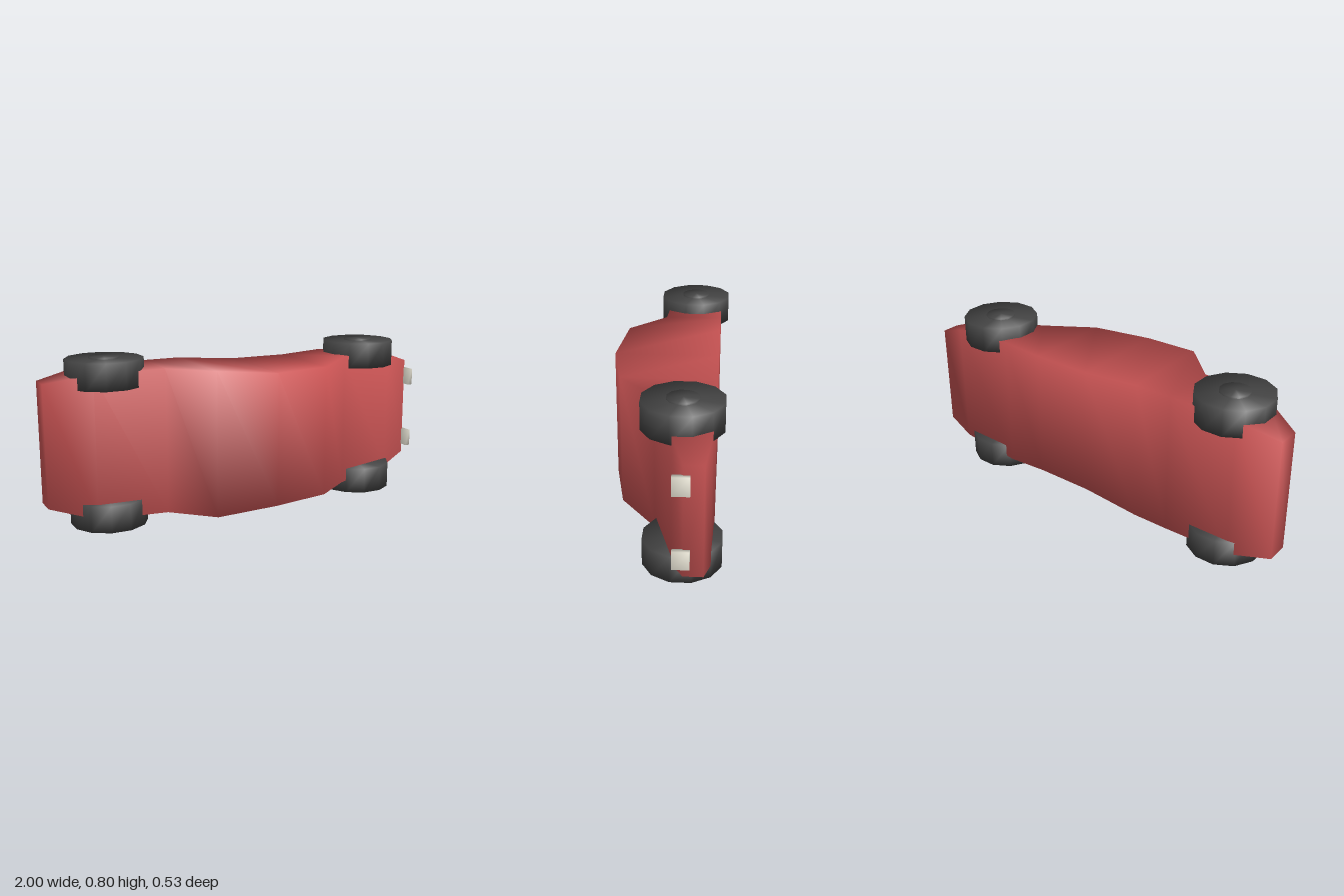
import * as THREE from 'three';
import { mergeVertices } from 'three/addons/utils/BufferGeometryUtils.js';

const MID = 0.3975; // centre of the car's width, along y

// Shares corners so that shading runs softly over every edge
function soften(geometry) {
  geometry.deleteAttribute('uv');
  geometry.deleteAttribute('normal');
  const merged = mergeVertices(geometry, 1e-4);
  merged.computeVertexNormals();
  return merged;
}

// Body shell lofted through four-cornered sections: [x, half width, top z, bottom z]
function bodyGeometry() {
  const sections = [
    [-1.0, 0.29, -0.09, -0.195],
    [-0.8, 0.335, 0.03, -0.23],
    [-0.47, 0.342, 0.05, -0.23],
    [-0.29, 0.342, 0.225, -0.23],
    [0, 0.317, 0.265, -0.23],
    [0.29, 0.317, 0.21, -0.23],
    [0.5, 0.33, 0.04, -0.23],
    [0.83, 0.304, -0.055, -0.22],
    [0.98, 0.255, -0.11, -0.195],
  ];
  const points = [];
  const faces = [];
  for (const [x, w, top, bottom] of sections) {
    points.push(x, MID + w, bottom, x, MID + w, top, x, MID - w, top, x, MID - w, bottom);
  }
  for (let i = 0; i < sections.length - 1; i++) {
    for (let j = 0; j < 4; j++) {
      const a = i * 4 + j;
      const b = i * 4 + ((j + 1) % 4);
      faces.push(a, b, b + 4, a, b + 4, a + 4);
    }
  }
  // Tail and nose panels
  const n = (sections.length - 1) * 4;
  faces.push(0, 2, 1, 0, 3, 2, n, n + 1, n + 2, n, n + 2, n + 3);
  const geometry = new THREE.BufferGeometry();
  geometry.setAttribute('position', new THREE.Float32BufferAttribute(points, 3));
  geometry.setIndex(faces);
  geometry.computeVertexNormals();
  return geometry;
}

export function createModel() {
  const group = new THREE.Group();
  const red = new THREE.MeshStandardMaterial({ color: 0xcc5555 });
  const dark = new THREE.MeshStandardMaterial({ color: 0x444444 });
  const ivory = new THREE.MeshStandardMaterial({ color: 0xeeeadb });

  const add = (name, geometry, material, x, y, z, parent = group) => {
    const mesh = new THREE.Mesh(geometry, material);
    mesh.name = name;
    mesh.position.set(x, y, z);
    parent.add(mesh);
    return mesh;
  };

  add('body', bodyGeometry(), red, 0, 0, 0);

  // Wheels with a small raised hub on the outer face
  const tyre = soften(new THREE.CylinderGeometry(0.181, 0.181, 0.126, 12).rotateY(Math.PI / 12));
  const hub = soften(new THREE.CylinderGeometry(0.071, 0.071, 0.05, 12).rotateY(Math.PI / 12));
  for (const [end, x] of [['rear', -0.71], ['front', 0.66]]) {
    for (const side of [-1, 1]) {
      const wheel = new THREE.Group();
      wheel.name = end + 'Wheel';
      wheel.position.set(x, MID + side * 0.327, -0.093);
      add('tyre', tyre, dark, 0, 0, 0, wheel);
      add('hub', hub, dark, 0, side * 0.0455, 0, wheel);
      group.add(wheel);
    }
  }

  // Headlights on the nose
  const lamp = soften(new THREE.BoxGeometry(0.025, 0.084, 0.074));
  for (const side of [-1, 1]) {
    add('headlight', lamp, ivory, 0.9875, MID + side * 0.169, -0.102);
  }
  return group;
}
